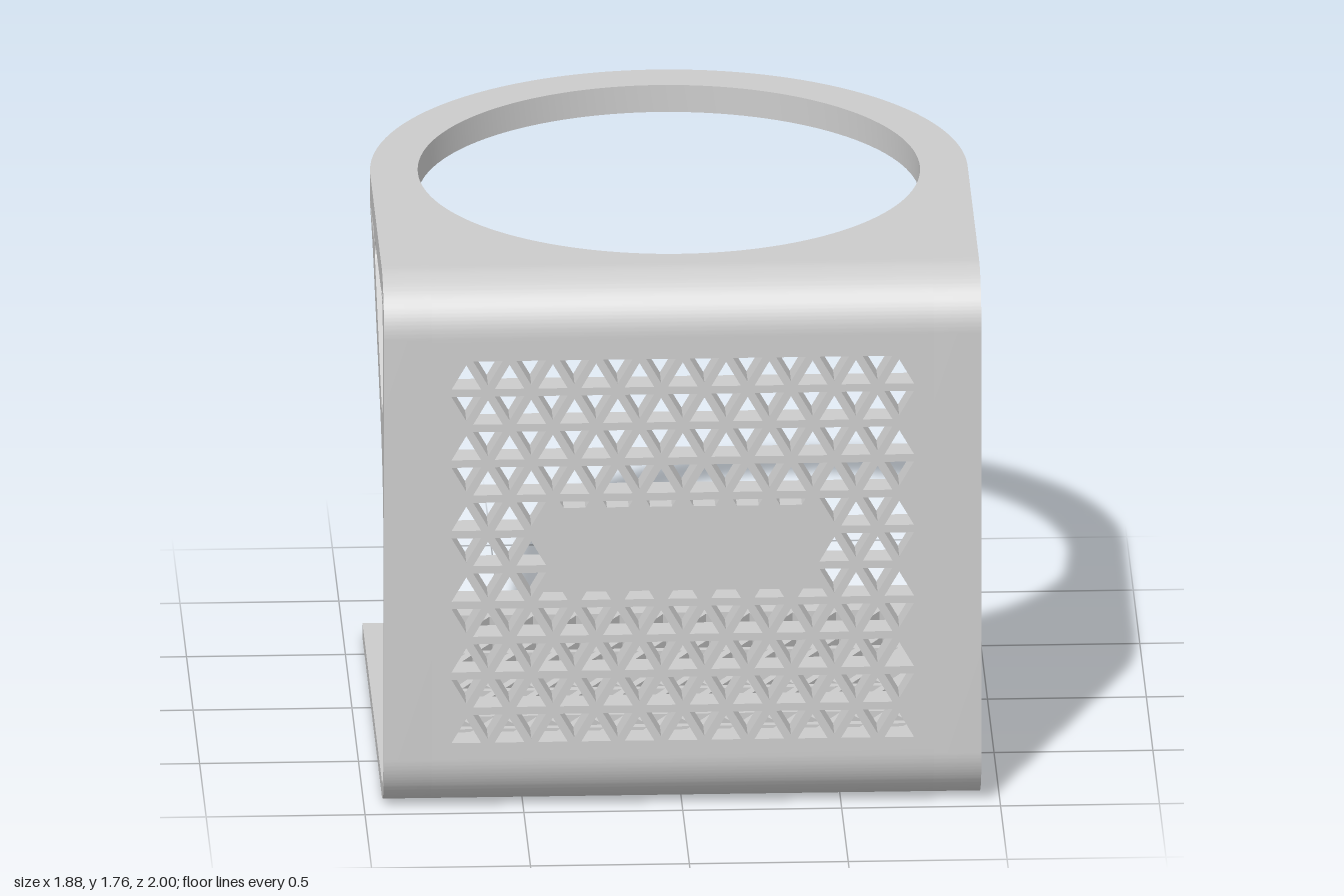
import * as THREE from 'three';
import { toCreasedNormals } from 'three/addons/utils/BufferGeometryUtils.js';

const W = 0.94, IN = 0.79;        // half width, inner half width / ring hole radius
const H = 1.76, RING_Z = -0.06;   // height, ring centre
const PITCH = 0.118, SIDE = PITCH * 2 / Math.sqrt(3), BAR = 0.0125;

const material = new THREE.MeshStandardMaterial({ color: 0xcccccc });

function extrude(shape, depth) {
  return new THREE.ExtrudeGeometry(shape, { depth, bevelEnabled: false, curveSegments: 24 });
}

// Extrudes a (z, y) profile sideways from x0 to x1
function extrudeAcross(shape, x0, x1) {
  return extrude(shape, x1 - x0).rotateY(-Math.PI / 2).translate(x1, 0, 0);
}

function rect(x0, y0, x1, y1) {
  return new THREE.Shape([[x0, y0], [x1, y0], [x1, y1], [x0, y1]].map(p => new THREE.Vector2(...p)));
}

// Keeps the part of a polygon where sign * (p[axis] - limit) > 0
function clip(poly, axis, limit, sign) {
  const out = [];
  poly.forEach((a, i) => {
    const b = poly[(i + 1) % poly.length];
    const da = sign * (a[axis] - limit), db = sign * (b[axis] - limit);
    if (da > 0) out.push(a);
    if (da * db < 0) out.push(a.clone().lerp(b, da / (da - db)));
  });
  return out;
}

// Eleven rows of alternating triangles; the rows mirror each other
function triangleGrid(yStart) {
  const list = [], height = PITCH - 3 * BAR, half = height / Math.sqrt(3);
  for (let row = 0; row < 11; row++) {
    for (let i = 0; i < 21; i++) {
      const up = (row + i) % 2 === 0;
      const x = (i - 10) * SIDE / 2;
      const base = yStart + row * PITCH + (up ? BAR : PITCH - BAR);
      const tip = base + (up ? height : -height);
      list.push([new THREE.Vector2(x - half, base), new THREE.Vector2(x + half, base), new THREE.Vector2(x, tip)]);
    }
  }
  return list;
}

// Leaves a blank plaque in the middle of the front grid
function aroundPlaque(tri) {
  const cx = tri[2].x, cy = (tri[0].y + tri[2].y) / 2;
  if (cy < 0.69 || cy > 1.05) return tri;
  if (Math.abs(cx) > 0.43) return clip(tri, 'x', Math.sign(cx) * 0.43, Math.sign(cx));
  const part = cy < 0.87 ? clip(tri, 'y', 0.735, -1) : clip(tri, 'y', 1.015, 1);
  return part.length > 3 ? part : [];
}

function perforate(shape, polys) {
  polys.filter(p => p.length > 2).forEach(p => shape.holes.push(new THREE.Path(p)));
  return shape;
}

// Rounded bend between two plates, as a (z, y) profile with the floor at y = 0
function bend(thickness) {
  const s = new THREE.Shape();
  s.moveTo(0.8, 0);
  s.lineTo(0.82, 0);
  s.absarc(0.82, 0.18, 0.18, -Math.PI / 2, 0, false);
  s.lineTo(1, 0.22);
  s.lineTo(0.9, 0.22);
  s.lineTo(0.9, thickness + 0.1);
  s.absarc(0.8, thickness + 0.1, 0.1, 0, -Math.PI / 2, true);
  return s;
}

// Thin side rail that flares into the windowed brace under the ring
function sideProfile() {
  const s = new THREE.Shape();
  s.moveTo(-0.65, 0);
  s.lineTo(0.82, 0);
  s.absarc(0.82, 0.18, 0.18, -Math.PI / 2, 0, false);
  s.lineTo(1, H - 0.18);
  s.absarc(0.82, H - 0.18, 0.18, 0, Math.PI / 2, false);
  s.lineTo(0.78, H);
  s.lineTo(0.78, 1.7);
  s.lineTo(-0.27, 1.7);
  s.lineTo(-0.27, 1.672);
  s.quadraticCurveTo(0, 1.672, 0.246, 1.52);
  s.lineTo(0.7, 1.25);
  s.quadraticCurveTo(0.955, 1.098, 0.955, 0.82);
  s.lineTo(0.955, 0.19);
  s.absarc(0.815, 0.19, 0.14, 0, -Math.PI / 2, true);
  s.lineTo(-0.65, 0.05);

  const w = new THREE.Path();
  w.moveTo(0.9, 1.57);
  w.quadraticCurveTo(0.895, 1.67, 0.79, 1.672);
  w.lineTo(0.33, 1.672);
  w.bezierCurveTo(0.28, 1.672, 0.28, 1.62, 0.31, 1.603);
  w.lineTo(0.8, 1.305);
  w.bezierCurveTo(0.85, 1.275, 0.9, 1.29, 0.9, 1.36);
  s.holes.push(w);
  return s;
}

export function createModel() {
  const model = new THREE.Group();
  function add(name, geometry) {
    const mesh = new THREE.Mesh(toCreasedNormals(geometry, 0.5), material);
    mesh.name = name;
    model.add(mesh);
  }

  // Perforated front and base
  const front = perforate(rect(-IN, 0.22, IN, 1.54), triangleGrid(0.2225).map(aroundPlaque));
  add('frontPanel', extrude(front, 0.1).translate(0, 0, 0.9));

  const base = perforate(rect(-IN, -0.8, IN, 0.65), triangleGrid(-0.7455));
  add('basePanel', extrude(base, 0.11).rotateX(-Math.PI / 2));

  // Bends joining the front to the base and the top
  add('lowerBend', extrudeAcross(bend(0.11), -IN, IN));
  add('upperBend', extrudeAcross(bend(0.09), -IN, IN).rotateZ(Math.PI).translate(0, H, 0));

  // Top plate ending in a ring
  const top = new THREE.Shape();
  top.moveTo(-W, -0.8);
  top.lineTo(W, -0.8);
  top.lineTo(W, -RING_Z);
  top.absarc(0, -RING_Z, W, 0, Math.PI, false);
  const hole = new THREE.Path();
  hole.absarc(0, -RING_Z - 0.005 + 0.01, IN, 0, Math.PI * 2, true);
  top.holes.push(hole);
  const ring = new THREE.ExtrudeGeometry(top, { depth: 0.09, bevelEnabled: false, curveSegments: 64 });
  add('topRing', ring.rotateX(-Math.PI / 2).translate(0, H - 0.09, 0));

  // Side rails with braces, kept within the ring outline
  for (const [name, x0] of [['leftSideBrace', IN], ['rightSideBrace', -W]]) {
    const g = extrudeAcross(sideProfile(), x0, x0 + W - IN);
    const p = g.attributes.position;
    for (let i = 0; i < p.count; i++) {
      const dz = p.getZ(i) - RING_Z;
      if (p.getY(i) < 1 || dz > 0) continue;
      const limit = Math.sqrt(W * W - dz * dz);
      p.setX(i, THREE.MathUtils.clamp(p.getX(i), -limit, limit));
    }
    add(name, g);
  }
  return model;
}
